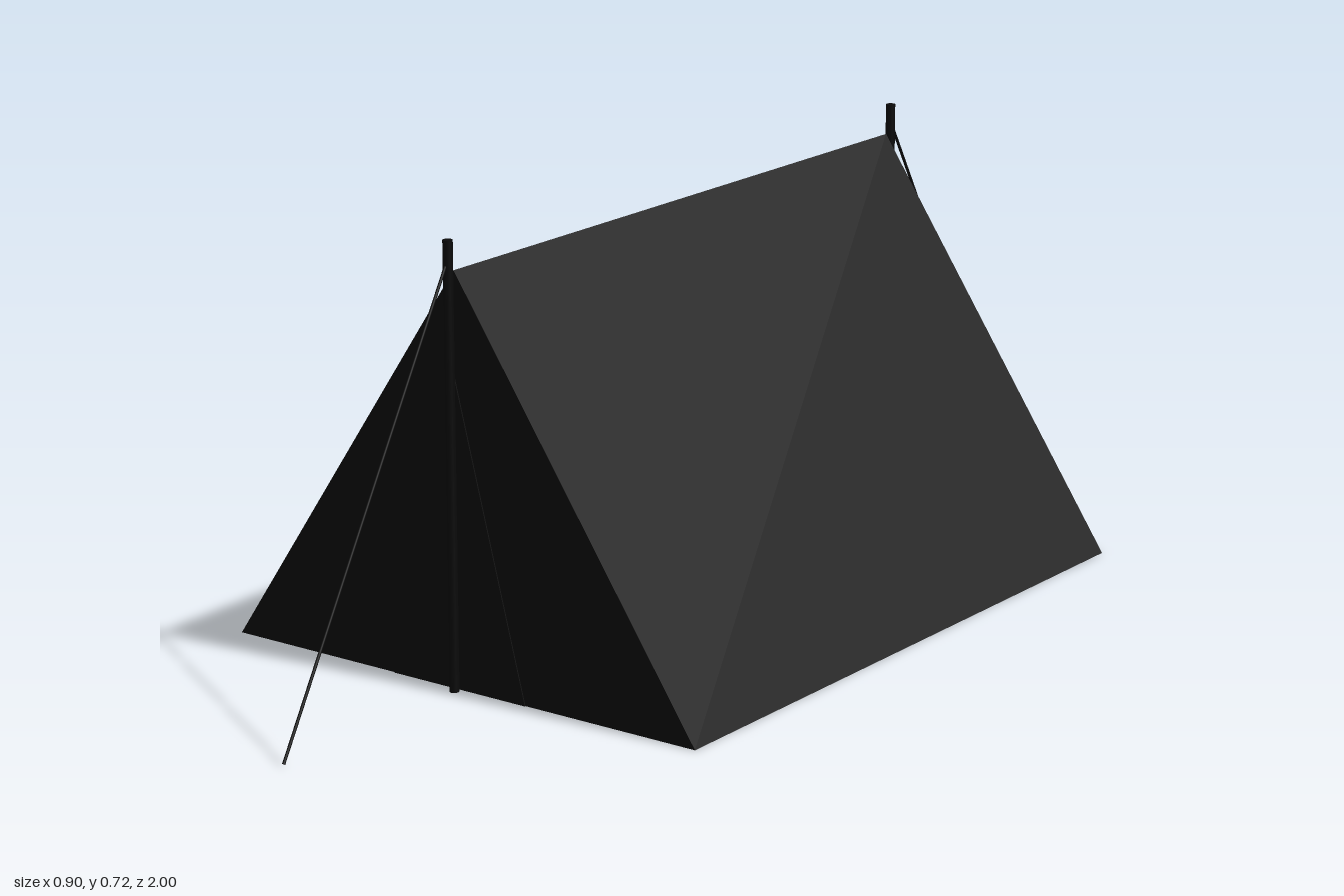
import * as THREE from 'three';

const HALF_W = 0.452, RIDGE = 0.67, HALF_L = 0.587;
const POLE_Z = 0.6, POLE_H = 0.72, POLE_R = 0.008;

// Upright triangular prism running along z, centred on z = 0
function prism(halfWidth, height, depth) {
  const shape = new THREE.Shape();
  shape.moveTo(-halfWidth, 0);
  shape.lineTo(halfWidth, 0);
  shape.lineTo(0, height);
  shape.closePath();
  const geo = new THREE.ExtrudeGeometry(shape, { depth, bevelEnabled: false });
  return geo.translate(0, 0, -depth / 2);
}

// Straight cylinder between two points
function rod(a, b, radius, sides) {
  const dir = b.clone().sub(a);
  const geo = new THREE.CylinderGeometry(radius, radius, dir.length(), sides);
  geo.applyQuaternion(new THREE.Quaternion().setFromUnitVectors(
    new THREE.Vector3(0, 1, 0), dir.clone().normalize()));
  const mid = a.clone().add(b).multiplyScalar(0.5);
  return geo.translate(mid.x, mid.y, mid.z);
}

export function createModel() {
  const model = new THREE.Group();
  model.name = 'ridgeTent';

  const material = (name, color) => {
    const m = new THREE.MeshStandardMaterial({ color });
    m.name = name;
    return m;
  };
  const canvas = material('black canvas', 0x0d0d0d);
  const doorCloth = material('door cloth', 0x0b0b0b);
  const fittings = material('pole and rope black', 0x0a0a0a);

  const add = (name, geo, mat) => {
    const mesh = new THREE.Mesh(geo, mat);
    mesh.name = name;
    model.add(mesh);
    return mesh;
  };

  // Canvas body: two slopes, closed ends and floor
  add('canvasBody', prism(HALF_W, RIDGE, HALF_L * 2), canvas);

  // Door panel on the front end
  add('door', prism(0.13, 0.5, 0.002), doorCloth).position.z = HALF_L + 0.001;

  // Pole and guy rope at each end
  for (const [end, s] of [['front', 1], ['back', -1]]) {
    add(end + 'Pole', rod(
      new THREE.Vector3(0, 0, s * POLE_Z),
      new THREE.Vector3(0, POLE_H, s * POLE_Z), POLE_R, 12), fittings);
    add(end + 'GuyRope', rod(
      new THREE.Vector3(0, 0.69, s * POLE_Z),
      new THREE.Vector3(0, 0.002, s * 0.998), 0.0025, 8), fittings);
  }

  return model;
}
